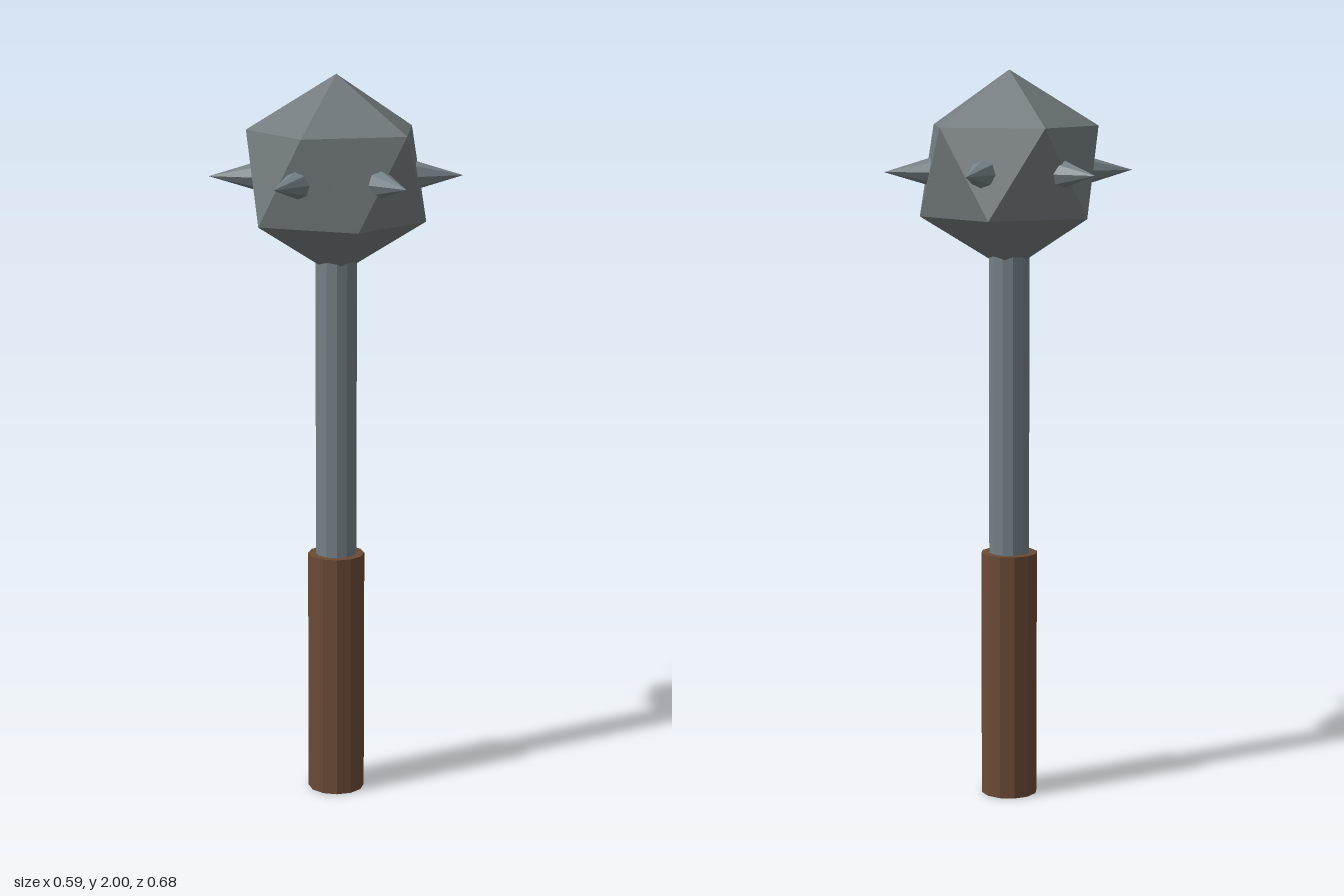
import * as THREE from 'three';
import { ConvexGeometry } from 'three/addons/geometries/ConvexGeometry.js';

export function createModel() {
  const group = new THREE.Group();
  const material = (name, color) => {
    const m = new THREE.MeshStandardMaterial({ color });
    m.name = name;
    return m;
  };
  const iron = material('iron', 0x737b7e);
  const steel = material('steel', 0x748085);
  const wood = material('wood', 0x6b4a36);
  [iron, steel, wood].forEach((m) => { m.flatShading = true; });

  const add = (name, geometry, mat) => {
    const mesh = new THREE.Mesh(geometry, mat);
    mesh.name = name;
    group.add(mesh);
    return mesh;
  };

  // Upright rod between two heights
  const rod = (name, radius, y0, y1, mat) => {
    add(name, new THREE.CylinderGeometry(radius, radius, y1 - y0, 12), mat)
      .position.y = (y0 + y1) / 2;
  };
  rod('grip', 0.078, 0, 0.683, wood);
  rod('shaft', 0.056, 0.66, 1.52, steel);

  // Twenty-sided head: two poles and two staggered rings of five
  const R = 0.27, headY = 1.73;
  const ringY = R / Math.sqrt(5), ringR = 2 * ringY;
  const points = [new THREE.Vector3(0, R, 0), new THREE.Vector3(0, -R, 0)];
  for (let i = 0; i < 5; i++) {
    const a = (i * Math.PI * 2) / 5;
    const x = ringR * Math.cos(a), z = ringR * Math.sin(a);
    points.push(new THREE.Vector3(x, ringY, z), new THREE.Vector3(-x, -ringY, -z));
  }
  add('head', new ConvexGeometry(points), iron).position.y = headY;

  // Six spikes around the head's middle
  const base = 0.19, tip = 0.34;
  const spikeGeometry = new THREE.ConeGeometry(0.045, tip - base, 8);
  spikeGeometry.rotateX(Math.PI / 2);
  spikeGeometry.translate(0, 0, (base + tip) / 2);
  for (let i = 0; i < 6; i++) {
    const spike = add('spike', spikeGeometry, steel);
    spike.position.y = headY;
    spike.rotation.y = (i * Math.PI) / 3;
  }
  return group;
}
